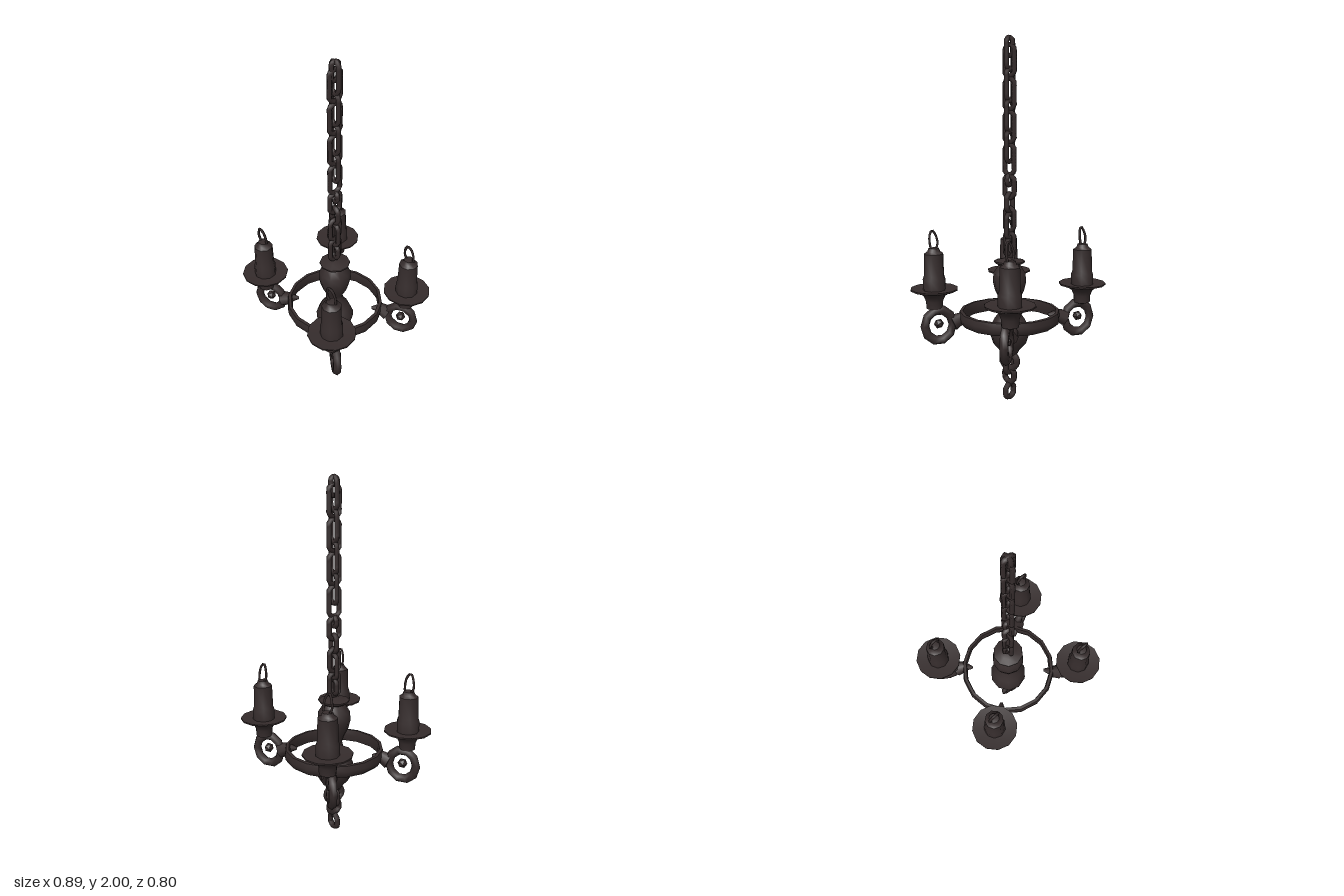
import * as THREE from 'three';
import { toCreasedNormals } from 'three/addons/utils/BufferGeometryUtils.js';

const iron = new THREE.MeshStandardMaterial({ color: 0x352c2c });
iron.name = 'dark iron';

const V = (x, y, z) => new THREE.Vector3(x, y, z);

function add(parent, name, geometry, x = 0, y = 0, z = 0) {
  const mesh = new THREE.Mesh(geometry, iron);
  mesh.name = name;
  mesh.position.set(x, y, z);
  parent.add(mesh);
  return mesh;
}

// Turned part from [radius, height] pairs, listed bottom to top
function turned(profile, sides) {
  const points = profile.map(([r, y]) => new THREE.Vector2(r, y));
  return toCreasedNormals(new THREE.LatheGeometry(points, sides), 0.8);
}

// Closed chain link between two heights; halfWidth is measured to the outside
function link(parent, bottom, top, halfWidth, wire, sideways) {
  const w = halfWidth - wire, h = (top - bottom) / 2 - wire;
  const c = Math.min(w, h) * 0.6;
  const corners = [[w, h - c], [w - c, h], [c - w, h], [-w, h - c],
    [-w, c - h], [c - w, -h], [w - c, -h], [w, c - h]];
  const path = new THREE.CurvePath();
  corners.forEach(([x, y], i) => {
    const [nx, ny] = corners[(i + 1) % 8];
    path.add(new THREE.LineCurve3(V(x, y, 0), V(nx, ny, 0)));
  });
  const curve = new THREE.CatmullRomCurve3(path.getSpacedPoints(20).slice(0, -1), true);
  const mesh = add(parent, 'chainLink', new THREE.TubeGeometry(curve, 24, wire, 5, true), 0, (bottom + top) / 2, 0);
  if (sideways) mesh.rotation.y = Math.PI / 2;
}

// Tapered bar between two points
function bar(parent, name, from, to, r0, r1) {
  const dir = to.clone().sub(from);
  const mid = from.clone().add(to).multiplyScalar(0.5);
  const mesh = add(parent, name, new THREE.CylinderGeometry(r1, r0, dir.length(), 7), mid.x, mid.y, mid.z);
  mesh.quaternion.setFromUnitVectors(V(0, 1, 0), dir.normalize());
}

export function createModel() {
  const model = new THREE.Group();
  model.name = 'chandelier';

  // Central turned column
  add(model, 'column', turned([[0, 0.26], [0.045, 0.27], [0.055, 0.29], [0.092, 0.33],
    [0.108, 0.38], [0.108, 0.42], [0.085, 0.47], [0.055, 0.51], [0.045, 0.55], [0.055, 0.58],
    [0.08, 0.63], [0.092, 0.68], [0.088, 0.73], [0.06, 0.775], [0.085, 0.79], [0.085, 0.798],
    [0.045, 0.808], [0, 0.82]], 10));

  // Hoop joining the arms
  add(model, 'hoop', turned([[0.262, 0.45], [0.278, 0.465], [0.281, 0.49], [0.275, 0.52],
    [0.258, 0.522], [0.252, 0.49], [0.262, 0.45]], 16));

  // Four arms with scroll, cup, candle and wick
  const cup = turned([[0, 0.535], [0.045, 0.55], [0.047, 0.59], [0.06, 0.62], [0.085, 0.637],
    [0.13, 0.652], [0.13, 0.66], [0.06, 0.652], [0, 0.652]], 12);
  const candle = turned([[0.062, 0.65], [0.062, 0.71], [0.055, 0.73], [0.052, 0.85],
    [0.035, 0.862], [0.028, 0.88], [0, 0.885]], 9);
  const wick = new THREE.TubeGeometry(new THREE.CatmullRomCurve3([V(-0.012, 0.87, 0),
    V(-0.032, 0.9, 0.003), V(-0.024, 0.945, 0.008), V(0, 0.975, 0.012), V(0.022, 0.955, 0.006),
    V(0.03, 0.92, 0), V(0.027, 0.88, -0.006)]), 12, 0.008, 4);
  const scroll = new THREE.TorusGeometry(0.078, 0.024, 6, 10);
  for (const sx of [-1, 1]) for (const sz of [-1, 1]) {
    const arm = new THREE.Group();
    arm.name = (sz > 0 ? 'front' : 'back') + (sx > 0 ? 'Left' : 'Right') + 'Arm';
    model.add(arm);
    const x = sx * 0.313, z = sz * 0.268;
    add(arm, 'cup', cup, x, 0, z);
    add(arm, 'candle', candle, x, 0, z);
    add(arm, 'wick', wick, x, 0, z);
    const loop = add(arm, 'scroll', scroll, sx * 0.308, 0.457, sz * 0.242);
    loop.rotation.y = -sx * sz * 0.52;
    loop.scale.y = 1.1;
    add(arm, 'scrollKnob', new THREE.IcosahedronGeometry(0.028, 0), sx * 0.308, 0.465, sz * 0.242);
    bar(arm, 'bracket', V(sx * 0.24, 0.462, sz * 0.204), V(sx * 0.193, 0.485, sz * 0.178), 0.045, 0.032);
    bar(arm, 'spike', V(sx * 0.2, 0.485, sz * 0.18), V(sx * 0.165, 0.485, sz * 0.142), 0.03, 0.008);
  }

  // Lower pendant chain
  link(model, 0.17, 0.29, 0.07, 0.02, true);
  link(model, 0.145, 0.275, 0.05, 0.017, false);
  link(model, 0.09, 0.2, 0.05, 0.017, true);
  link(model, 0, 0.11, 0.05, 0.017, false);

  // Lower stretch of the hanging chain
  link(model, 0.81, 0.97, 0.045, 0.014, true);
  link(model, 0.82, 0.93, 0.04, 0.014, false);
  link(model, 0.91, 1.07, 0.04, 0.014, false);
  link(model, 0.95, 1.105, 0.045, 0.014, true);
  link(model, 1.06, 1.18, 0.04, 0.015, false);
  link(model, 1.13, 1.28, 0.047, 0.015, true);
  link(model, 1.2, 1.28, 0.035, 0.014, false);

  // Long upper stretch of interlocked links
  for (let i = 0; i < 4; i++) {
    link(model, 1.255 + i * 0.173, 1.445 + i * 0.173, 0.046, 0.014, true);
    link(model, 1.325 + i * 0.1625, 1.5125 + i * 0.1625, 0.04, 0.014, false);
  }
  link(model, 1.88, 2.0, 0.034, 0.014, true);
  return model;
}
